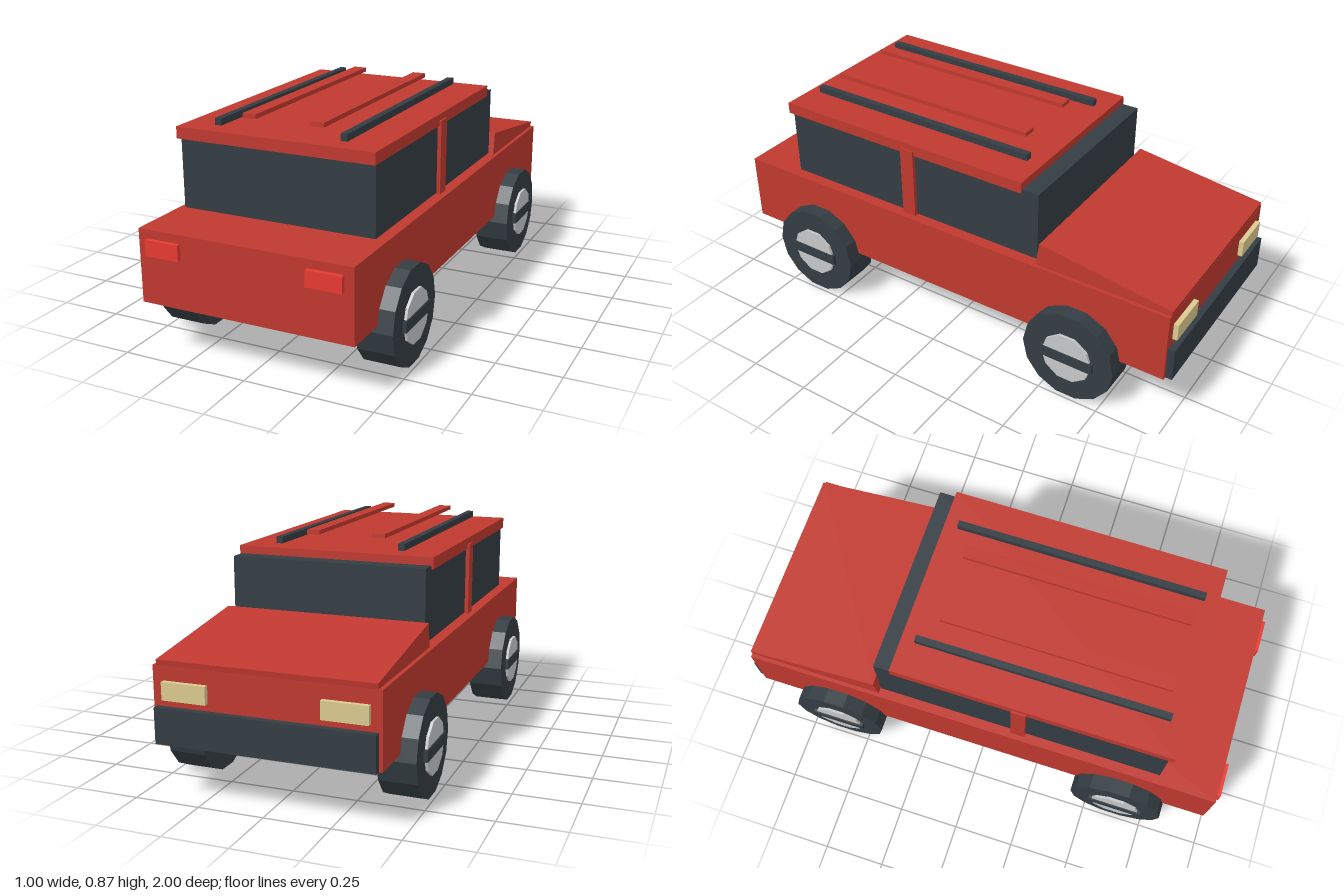
import * as THREE from 'three';

const paint = (name, color) => {
  const m = new THREE.MeshStandardMaterial({ color });
  m.name = name;
  return m;
};

export function createModel() {
  const red = paint('bodyRed', 0xc0392f);
  const dark = paint('darkGrey', 0x343d43);
  const silver = paint('hubSilver', 0xc6c8ca);
  const tail = paint('tailLightRed', 0xeb3b32);
  const cream = paint('headlightCream', 0xdccb90);

  const car = new THREE.Group();
  car.name = 'car';

  const add = (name, geometry, material, parent = car) => {
    const mesh = new THREE.Mesh(geometry, material);
    mesh.name = name;
    parent.add(mesh);
    return mesh;
  };

  // Box given by its minimum and maximum corner
  const box = (name, material, [x0, y0, z0], [x1, y1, z1], parent = car) => {
    const mesh = add(name, new THREE.BoxGeometry(x1 - x0, y1 - y0, z1 - z0), material, parent);
    mesh.position.set((x0 + x1) / 2, (y0 + y1) / 2, (z0 + z1) / 2);
    return mesh;
  };

  // Same box on both sides of the car
  const pair = (name, material, [x0, y0, z0], [x1, y1, z1]) => {
    box(name + 'Left', material, [x0, y0, z0], [x1, y1, z1]);
    box(name + 'Right', material, [-x1, y0, z0], [-x0, y1, z1]);
  };

  // Body, cabin and roof
  box('body', red, [-0.423, 0.212, -0.973], [0.423, 0.494, 0.983]);
  box('cabinGlass', dark, [-0.388, 0.503, -0.416], [0.388, 0.784, 0.747]);
  box('doorPillars', red, [-0.403, 0.498, 0.136], [0.403, 0.79, 0.194]);
  box('roof', red, [-0.395, 0.77, -0.347], [0.395, 0.815, 0.766]);

  // Sloping bonnet: a box hung from the middle of its top face
  const bonnetGeometry = new THREE.BoxGeometry(0.816, 0.11, 0.546);
  bonnetGeometry.translate(0, -0.055, 0);
  const bonnet = add('bonnet', bonnetGeometry, red);
  bonnet.position.set(0, 0.552, -0.705);
  bonnet.rotation.x = -0.137;

  // Roof rails and raised strips
  pair('roofRail', dark, [0.238, 0.822, -0.29], [0.264, 0.848, 0.711]);
  pair('roofStrip', red, [0.11, 0.854, -0.222], [0.163, 0.871, 0.686]);

  // Lights and bumper
  pair('tailLight', tail, [0.25, 0.4, 0.96], [0.387, 0.461, 1]);
  pair('headlight', cream, [0.212, 0.374, -0.992], [0.382, 0.441, -0.95]);
  box('bumper', dark, [-0.41, 0.214, -1], [0.41, 0.348, -0.95]);

  // Wheels: faceted tyre, hub cap and cross bar
  const disc = (radius, width, sides) => {
    const g = new THREE.CylinderGeometry(radius, radius, width, sides).toNonIndexed();
    g.rotateZ(-Math.PI / 2);
    g.computeVertexNormals();
    return g;
  };
  const tyreGeometry = disc(0.192, 0.145, 14);
  const hubGeometry = disc(0.105, 0.08, 10);
  for (const z of [0.62, -0.61]) {
    for (const side of [1, -1]) {
      const wheel = new THREE.Group();
      wheel.name = (z > 0 ? 'rear' : 'front') + 'Wheel' + (side > 0 ? 'Left' : 'Right');
      wheel.position.set(side * 0.411, 0.187, z);
      wheel.rotation.y = side > 0 ? 0 : Math.PI;
      add('tyre', tyreGeometry, dark, wheel);
      add('hub', hubGeometry, silver, wheel).position.x = 0.043;
      box('hubBar', dark, [0.02, -0.022, -0.111], [0.088, 0.022, 0.111], wheel);
      car.add(wheel);
    }
  }
  return car;
}
